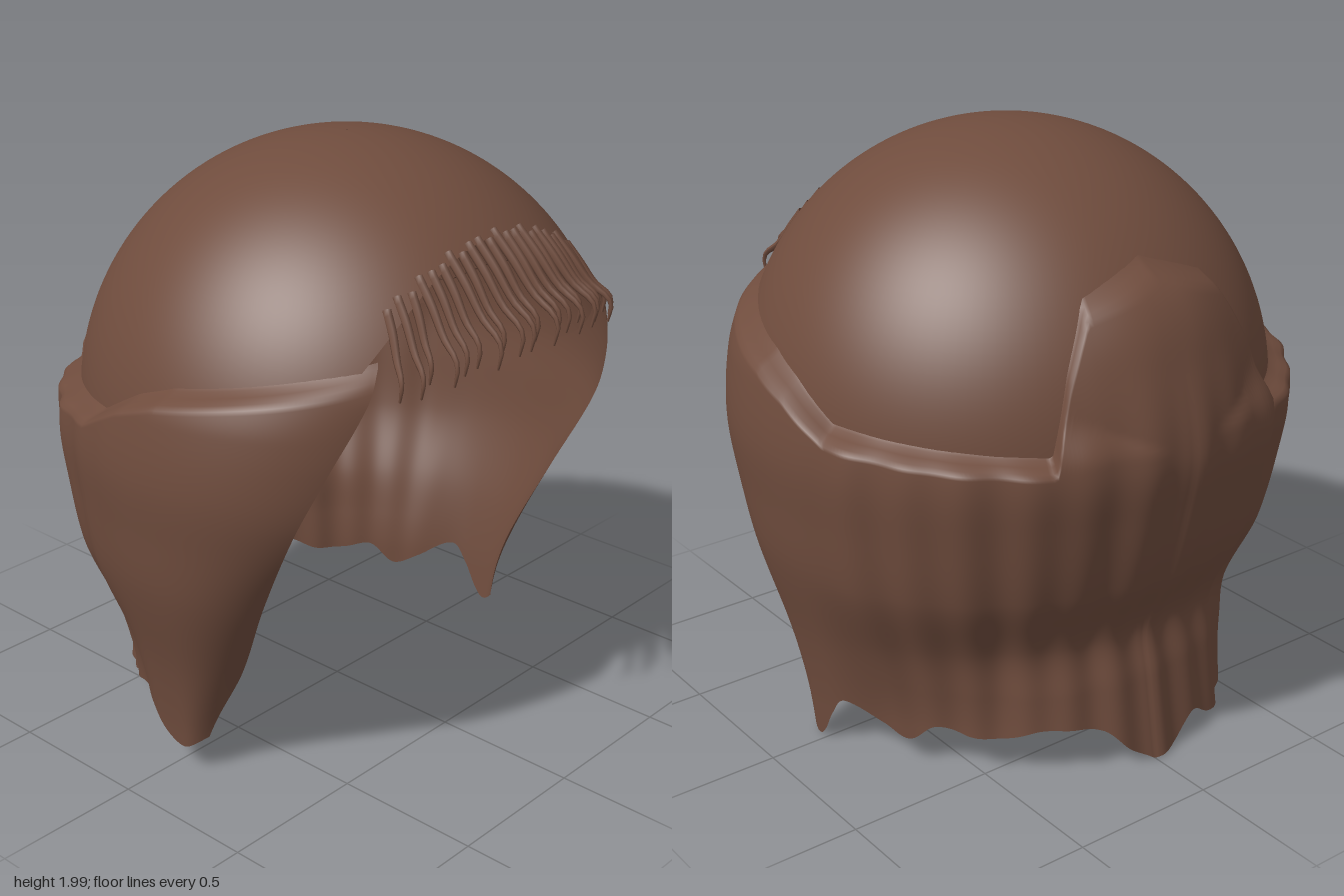
import * as THREE from 'three';
import { ParametricGeometry } from 'three/addons/geometries/ParametricGeometry.js';

const R = 0.88, CY = 1.12, CZ = 0.04; // skull cap sphere
const { lerp, smoothstep, clamp } = THREE.MathUtils;

// interpolate [key, value] pairs, straight or with smooth tangents
function table(points, smooth = true) {
  const slope = (i) => {
    const a = points[Math.max(i - 1, 0)], b = points[Math.min(i + 1, points.length - 1)];
    return (b[1] - a[1]) / (b[0] - a[0]);
  };
  return (k) => {
    k = clamp(k, points[0][0], points[points.length - 1][0]);
    let i = 0;
    while (i < points.length - 2 && k > points[i + 1][0]) i++;
    const [k0, p] = points[i], [k1, q] = points[i + 1], d = k1 - k0, t = (k - k0) / d;
    if (!smooth) return lerp(p, q, t);
    const t2 = t * t, t3 = t2 * t;
    return (2 * t3 - 3 * t2 + 1) * p + (t3 - 2 * t2 + t) * d * slope(i)
      + (3 * t2 - 2 * t3) * q + (t3 - t2) * d * slope(i + 1);
  };
}

// long hair: profiles by height
const edgeX = table([[0, 0.78], [0.2, 0.735], [0.4, 0.7], [0.7, 0.74], [1, 0.76], [1.2, 0.7], [1.35, 0.62], [1.5, 0.53]]);
const edgeZ = table([[0, 0.08], [0.2, 0.14], [0.4, 0.23], [0.7, 0.37], [1, 0.52], [1.2, 0.6], [1.4, 0.655], [1.5, 0.645]]);
const sideR = table([[0, 0.79], [0.2, 0.81], [0.4, 0.845], [0.7, 0.92], [0.9, 0.945], [1.1, 0.96], [1.3, 0.935], [1.4, 0.9], [1.5, 0.85], [1.75, 0.6]]);
const backR = table([[0, 0.81], [0.3, 0.76], [0.47, 0.735], [0.7, 0.84], [0.95, 0.91], [1.15, 0.94], [1.4, 0.885], [1.6, 0.795], [1.75, 0.62]]);
// top and bottom edges, from the front edge (0) to the middle of the back (1)
const topY = table([[0, 1.51], [0.2, 1.43], [0.3, 1.39], [0.36, 1.34], [0.43, 1.24], [0.78, 1.2], [0.82, 1.45], [0.86, 1.64], [1, 1.73]], false);
const hemLeft = table([[0, 0.05], [0.03, 0.01], [0.07, 0.04], [0.13, 0.13], [0.19, 0.2], [0.27, 0.14], [0.34, 0.1], [0.43, 0.17], [0.52, 0.15], [0.6, 0.15], [0.7, 0.19], [0.86, 0.16], [0.93, 0.07], [1, 0.01]]);
const hemRight = table([[0, 0.14], [0.04, 0.1], [0.1, 0.12], [0.2, 0.2], [0.3, 0.17], [0.4, 0.13], [0.52, 0.08], [0.65, 0.05], [0.77, 0.05], [0.85, 0.1], [0.92, 0.03], [1, 0.01]]);

function curtainPoint(u, v, target) {
  const side = u < 0.5 ? -1 : 1;
  const along = u < 0.5 ? u * 2 : 2 - u * 2;
  const y = lerp(topY(along), side > 0 ? hemLeft(along) : hemRight(along), v);
  const ex = edgeX(y), ez = edgeZ(y) - CZ;
  const edgeAngle = Math.atan2(ez, ex);
  const angle = lerp(edgeAngle, -Math.PI / 2, along);
  let r = angle > 0
    ? lerp(sideR(y), Math.hypot(ex, ez), Math.pow(angle / Math.max(edgeAngle, 0.01), 3))
    : lerp(sideR(y), backR(y), Math.sin(angle) ** 2);
  // pleats towards the back
  r += (0.006 * Math.sin(31 * angle + side) + 0.004 * Math.sin(18 * angle + 2 * side))
    * smoothstep(along, 0.25, 0.5) * smoothstep(1.75 - y, 0.2, 0.7) * smoothstep(1.02 - along, 0, 0.05);
  // hair behind the long front locks tucks inwards near the hem
  r -= 0.06 * smoothstep(0.7 - y, 0, 0.55) * smoothstep(-angle, 0.1, 0.4) * (1 - smoothstep(-angle, 0.7, 1.2));
  // raised panel at the back lies almost flush, and a rounded ledge meets the cap
  const cap = Math.sqrt(Math.max(R * R - (y - CY) ** 2, 0));
  if (y > 1.15) {
    if (along > 0.78) {
      r = lerp(cap + 0.02, r, Math.max(smoothstep(along, 0.8, 0.97), smoothstep(1.32 - y, 0, 0.14)));
    }
    r = lerp(cap - 0.005, Math.max(r, cap + 0.006), smoothstep(v, 0, 0.045));
  }
  target.set(side * Math.cos(angle) * r, y, CZ + Math.sin(angle) * r);
}

// cap ends in an arched hairline in front, level behind
function capLimit(a) {
  if (Math.cos(a) <= 0) return Math.PI / 2 - 0.01;
  const A = 0.9 * R * R * Math.sin(a) ** 2;
  let lo = 0, hi = 1;
  for (let i = 0; i < 30; i++) {
    const c = (lo + hi) / 2;
    if (R * c - 0.65 + A * (1 - c * c) > 0) hi = c; else lo = c;
  }
  return Math.acos(Math.max(hi, 0.01));
}

function capPoint(u, v, target) {
  const a = Math.PI * (1 - 2 * u);
  const t = lerp(0.002, capLimit(a), v);
  target.set(R * Math.sin(t) * Math.sin(a), CY + R * Math.cos(t), CZ + R * Math.sin(t) * Math.cos(a));
}

// tapered lock of hair along a curve
function strandGeometry(points) {
  const curve = new THREE.CatmullRomCurve3(points), steps = 14, sides = 6;
  const geo = new THREE.TubeGeometry(curve, steps, 0.015, sides);
  const pos = geo.attributes.position, p = new THREE.Vector3();
  for (let i = 0; i < pos.count; i++) {
    const t = Math.floor(i / (sides + 1)) / steps;
    const c = curve.getPointAt(t);
    p.fromBufferAttribute(pos, i).sub(c).multiplyScalar(lerp(1, 0.25, t * t)).add(c);
    pos.setXYZ(i, p.x, p.y, p.z);
  }
  geo.computeVertexNormals();
  return geo;
}

export function createModel() {
  const model = new THREE.Group();
  model.name = 'hair';
  const brown = new THREE.MeshStandardMaterial({ color: 0x6f4c3d, side: THREE.DoubleSide });
  brown.name = 'brown hair';
  const add = (name, geo, parent = model) => {
    const mesh = new THREE.Mesh(geo, brown);
    mesh.name = name;
    parent.add(mesh);
  };

  add('cap', new ParametricGeometry(capPoint, 128, 40));

  const curtain = new ParametricGeometry(curtainPoint, 320, 90);
  curtain.computeVertexNormals();
  add('longHair', curtain);

  // fringe of separate locks fanning out over the forehead
  const fringe = new THREE.Group();
  fringe.name = 'fringe';
  model.add(fringe);
  const count = 22;
  for (let i = 0; i < count; i++) {
    const f = (i / (count - 1)) * 2 - 1;
    const wobble = Math.sin(i * 2.4) * 0.03;
    const x = 0.44 * f, y = 1.775 - 0.7 * x * x + wobble * 0.3;
    const z = CZ + Math.sqrt(R * R - x * x - (y - CY) ** 2) - 0.005;
    const reach = 0.23 - 0.1 * f * f + wobble;
    const drop = 0.23 - 0.05 * f * f + wobble * 0.5;
    const at = (dx, dy, dz) => new THREE.Vector3(x + 0.08 * f * dx, y - drop * dy, z + reach * dz);
    add('fringeLock', strandGeometry([
      at(0, 0, 0), at(0.25, 0.32, 0.32), at(0.6, 0.7, 0.65), at(0.9, 0.88, 0.92), at(1, 1, 1), at(1, 1.28, 0.95),
    ]), fringe);
  }
  return model;
}
